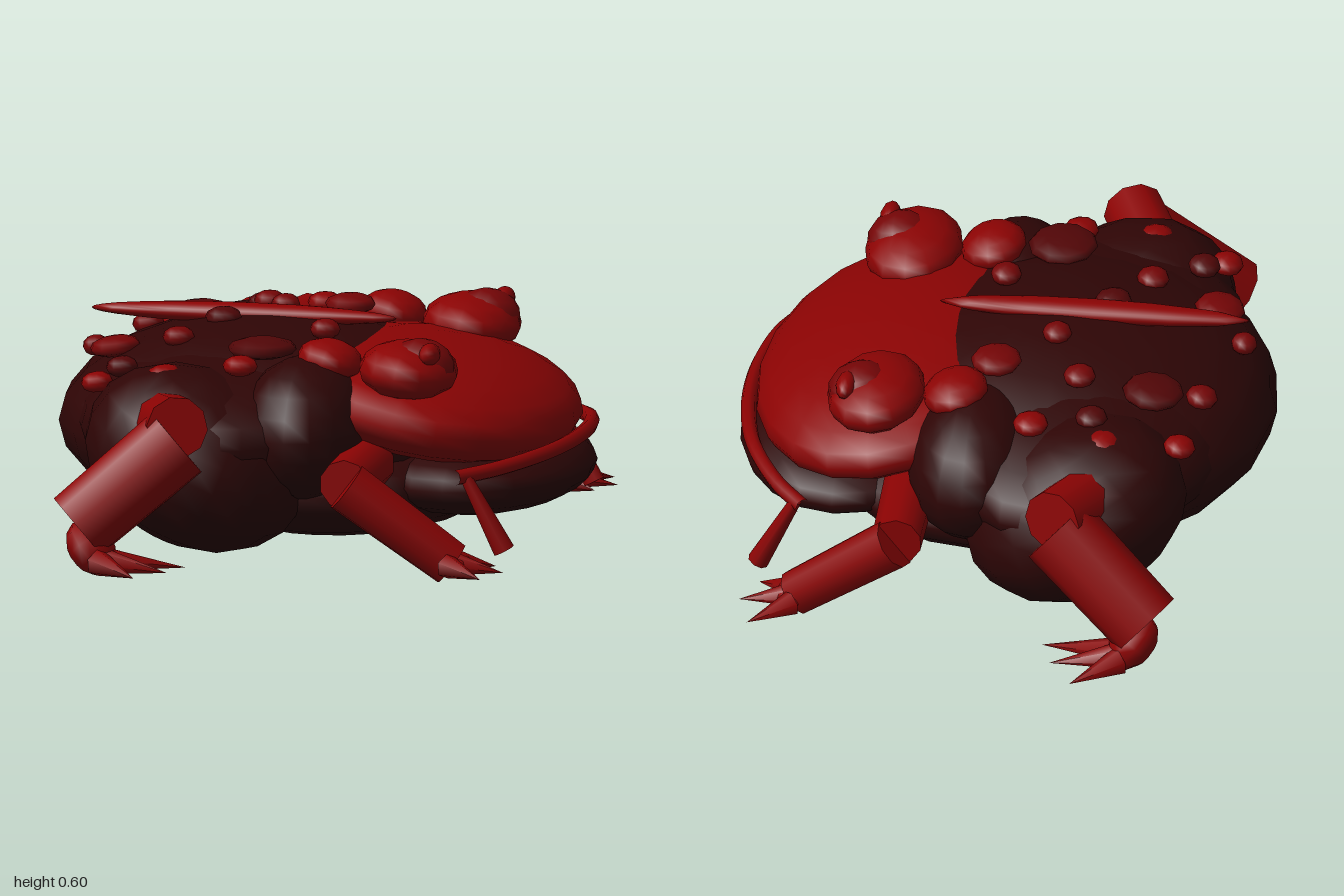
import * as THREE from 'three';

const mat = (name, color) => {
  const m = new THREE.MeshStandardMaterial({ color });
  m.name = name;
  return m;
};

export function createModel() {
  const toad = new THREE.Group();
  toad.name = 'toad';
  const red = mat('red skin', 0x8b0303);
  const dark = mat('dark skin', 0x2e0505);
  const maroon = mat('maroon spots', 0x520607);
  const crimson = mat('crimson warts', 0x750506);

  const V = (x, y, z) => new THREE.Vector3(x, y, z);
  const UP = V(0, 1, 0);

  const add = (name, geometry, material, position) => {
    const mesh = new THREE.Mesh(geometry, material);
    mesh.name = name;
    if (position) mesh.position.copy(position);
    toad.add(mesh);
    return mesh;
  };
  // Ellipsoid with radii r, optionally pitched about z
  const blob = (name, material, p, r, tilt = 0, w = 16, h = 10) => {
    const mesh = add(name, new THREE.SphereGeometry(1, w, h), material, V(...p));
    mesh.scale.set(...r);
    mesh.rotation.z = tilt;
    return mesh;
  };
  // Tapered cylinder from a to b (a cone when rb is 0)
  const limb = (name, material, a, b, ra, rb, sides = 10) => {
    const d = b.clone().sub(a);
    const mesh = add(name, new THREE.CylinderGeometry(rb, ra, d.length(), sides), material,
      a.clone().add(b).multiplyScalar(0.5));
    mesh.quaternion.setFromUnitVectors(UP, d.normalize());
    return mesh;
  };

  // Trunk, broad back, belly, head and jaw
  blob('body', dark, [-0.15, 0.295, 0], [0.54, 0.267, 0.61], 0, 20, 12);
  blob('back', dark, [-0.2, 0.325, 0], [0.43, 0.205, 0.75], 0, 20, 12);
  blob('belly', dark, [0.03, 0.175, 0], [0.45, 0.163, 0.52], 0, 20, 12);
  blob('head', red, [0.29, 0.37, 0], [0.365, 0.137, 0.56], -0.2, 20, 12);
  blob('jaw', dark, [0.4, 0.19, 0], [0.29, 0.11, 0.45], 0, 20, 12);

  // Lip line curving round the jaw
  const lip = new THREE.CatmullRomCurve3([
    V(0.46, 0.25, 0.56), V(0.54, 0.258, 0.46), V(0.62, 0.27, 0.3), V(0.655, 0.275, 0.14),
    V(0.664, 0.277, 0), V(0.655, 0.275, -0.14), V(0.62, 0.27, -0.3), V(0.54, 0.258, -0.46),
    V(0.46, 0.25, -0.56),
  ]);
  add('lip', new THREE.TubeGeometry(lip, 32, 0.02, 8), red);

  // Spine ridge
  blob('ridge', red, [-0.22, 0.557, 0], [0.4, 0.027, 0.042], 0, 12, 16);

  for (const s of [1, -1]) {
    const P = (x, y, z) => V(x, y, z * s);

    // Haunch and shoulder
    blob('haunch', dark, [-0.235, 0.265, 0.49 * s], [0.3, 0.225, 0.29], -0.45);
    blob('shoulder', dark, [0.035, 0.34, 0.42 * s], [0.17, 0.185, 0.255]);

    // Eye
    blob('eyeMound', red, [0.295, 0.492, 0.37 * s], [0.127, 0.074, 0.175], -0.1, 12, 8);
    blob('eyeball', crimson, [0.335, 0.512, 0.385 * s], [0.084, 0.064, 0.088], -0.2, 12, 8);
    blob('pupil', red, [0.365, 0.545, 0.435 * s], [0.026, 0.029, 0.055], 0.3, 10, 8);

    // Gland behind the eye
    blob('gland', red, [0.09, 0.512, 0.375 * s], [0.085, 0.052, 0.1], -0.2, 12, 8);

    // Barbel hanging from the mouth corner
    limb('barbel', red, P(0.48, 0.255, 0.54), P(0.58, 0.06, 0.525), 0.015, 0.028, 8);

    // Front leg
    limb('upperArm', red, P(0.2, 0.255, 0.42), P(0.2, 0.245, 0.7), 0.07, 0.065);
    limb('forearm', red, P(0.205, 0.24, 0.695), P(0.467, 0.04, 0.636), 0.068, 0.06);
    blob('frontFoot', red, [0.475, 0.04, 0.64 * s], [0.045, 0.03, 0.07], 0, 10, 6);
    for (const [x, z] of [[0.575, 0.785], [0.61, 0.67], [0.57, 0.575]]) {
      limb('frontToe', red, P(0.47, 0.045, 0.645 + (z - 0.645) * 0.4), P(x, 0.028, z), 0.033, 0, 6);
    }

    // Hind leg
    limb('thigh', red, P(-0.32, 0.365, 0.56), P(-0.215, 0.395, 0.8), 0.085, 0.08);
    limb('shin', red, P(-0.225, 0.35, 0.762), P(-0.465, 0.138, 0.85), 0.103, 0.097);
    blob('hindFoot', red, [-0.43, 0.082, 0.845 * s], [0.08, 0.055, 0.08], -0.9, 10, 6);
    for (const [x, z] of [[-0.285, 1.0], [-0.22, 0.9], [-0.19, 0.81]]) {
      limb('hindToe', red, P(-0.4, 0.055, 0.86 + (z - 0.86) * 0.3), P(x, 0.035, z), 0.036, 0, 6);
    }
  }

  // Warts over the back: x, z, radius, material
  const warts = [
    [-0.5, -0.47, 0.042, red], [-0.31, -0.53, 0.047, red], [-0.27, -0.45, 0.042, maroon],
    [-0.12, -0.5, 0.046, red], [-0.41, -0.3, 0.08, maroon], [-0.53, -0.26, 0.042, crimson],
    [-0.22, -0.3, 0.042, crimson], [-0.14, -0.13, 0.038, crimson], [0, -0.26, 0.066, crimson],
    [-0.6, 0.04, 0.034, crimson], [-0.52, 0.17, 0.066, crimson], [-0.34, 0.23, 0.042, crimson],
    [-0.26, 0.06, 0.048, maroon], [0.03, 0.165, 0.04, crimson], [-0.09, 0.365, 0.09, maroon],
    [-0.45, 0.4, 0.042, maroon], [-0.5, 0.47, 0.042, red], [-0.31, 0.52, 0.047, red],
    [-0.12, 0.49, 0.046, red],
  ];
  for (const [x, z, r, m] of warts) {
    const y = 0.567 - 0.4 * (x + 0.1) ** 2 - 0.25 * z * z;
    blob('wart', m, [x, y, z], [r, 0.027, r * 1.12], 0.5 * Math.max(0, -x - 0.25), 10, 6);
  }
  return toad;
}
